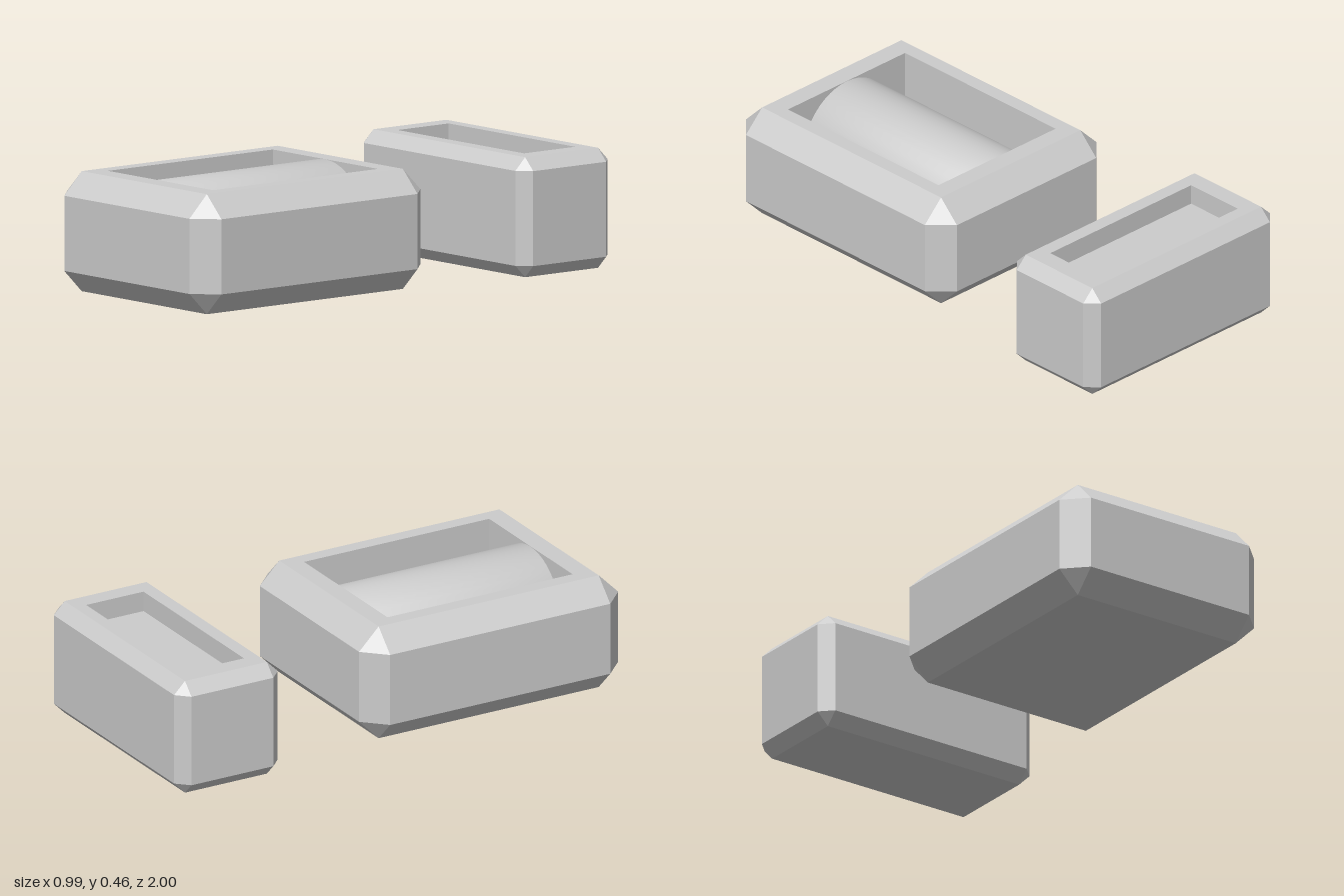
import * as THREE from 'three';
import { mergeVertices } from 'three/addons/utils/BufferGeometryUtils.js';

// Eight-point outline of a rectangle with corners cut by c (c = 0 gives a plain rectangle)
function ring(y, hx, hz, c = 0, dz = 0) {
  return [
    [hx - c, hz], [hx, hz - c], [hx, c - hz], [hx - c, -hz],
    [c - hx, -hz], [-hx, c - hz], [-hx, hz - c], [c - hx, hz],
  ].map(([x, z]) => new THREE.Vector3(x, y, z + dz));
}

// Joins successive outlines with flat faces, leaving out empty triangles
function loft(rings) {
  const points = [];
  const tri = (a, b, c) => {
    if (new THREE.Triangle(a, b, c).getArea() > 1e-7) points.push(a, b, c);
  };
  for (let i = 0; i < rings.length - 1; i++) {
    const lo = rings[i], hi = rings[i + 1];
    for (let k = 0; k < 8; k++) {
      const n = (k + 1) % 8;
      tri(lo[k], lo[n], hi[n]);
      tri(lo[k], hi[n], hi[k]);
    }
  }
  const geometry = new THREE.BufferGeometry().setFromPoints(points);
  geometry.computeVertexNormals();
  return geometry;
}

// Chamfered block with a rectangular pocket sunk into its top
function pocketBlock(hx, hz, height, c, pocket) {
  const { px, pz, dz, floor } = pocket;
  return loft([
    ring(0, 0, 0),
    ring(0, hx - c, hz - c),
    ring(c, hx, hz, c),
    ring(height - c, hx, hz, c),
    ring(height, hx - c, hz - c),
    ring(height, px, pz, 0, dz),
    ring(floor, px, pz, 0, dz),
    ring(floor, 0, 0, 0, dz),
  ]);
}

export function createModel() {
  const model = new THREE.Group();
  const add = (name, geometry, x, y, z, flatShading) => {
    const material = new THREE.MeshStandardMaterial({ color: 0xcccccc, flatShading });
    const mesh = new THREE.Mesh(geometry, material);
    mesh.name = name;
    mesh.position.set(x, y, z);
    model.add(mesh);
  };

  // Large front block with a deep pocket
  add('frontBlock', pocketBlock(0.455, 0.57, 0.46, 0.086,
    { px: 0.31, pz: 0.407, dz: -0.003, floor: 0.16 }), 0, 0, 0.43, true);

  // Lengthwise roller filling the pocket, shaded softly into its ends
  const roller = new THREE.CylinderGeometry(0.229, 0.229, 0.812, 48);
  roller.rotateX(Math.PI / 2);
  roller.deleteAttribute('normal');
  roller.deleteAttribute('uv');
  const softRoller = mergeVertices(roller, 1e-4);
  softRoller.computeVertexNormals();
  add('roller', softRoller, 0, 0.231, 0.427, false);

  // Narrow rear block with a shallow tray
  add('rearBlock', pocketBlock(0.495, 0.228, 0.46, 0.048,
    { px: 0.373, pz: 0.126, dz: -0.003, floor: 0.38 }), 0, 0, -0.772, true);

  return model;
}
